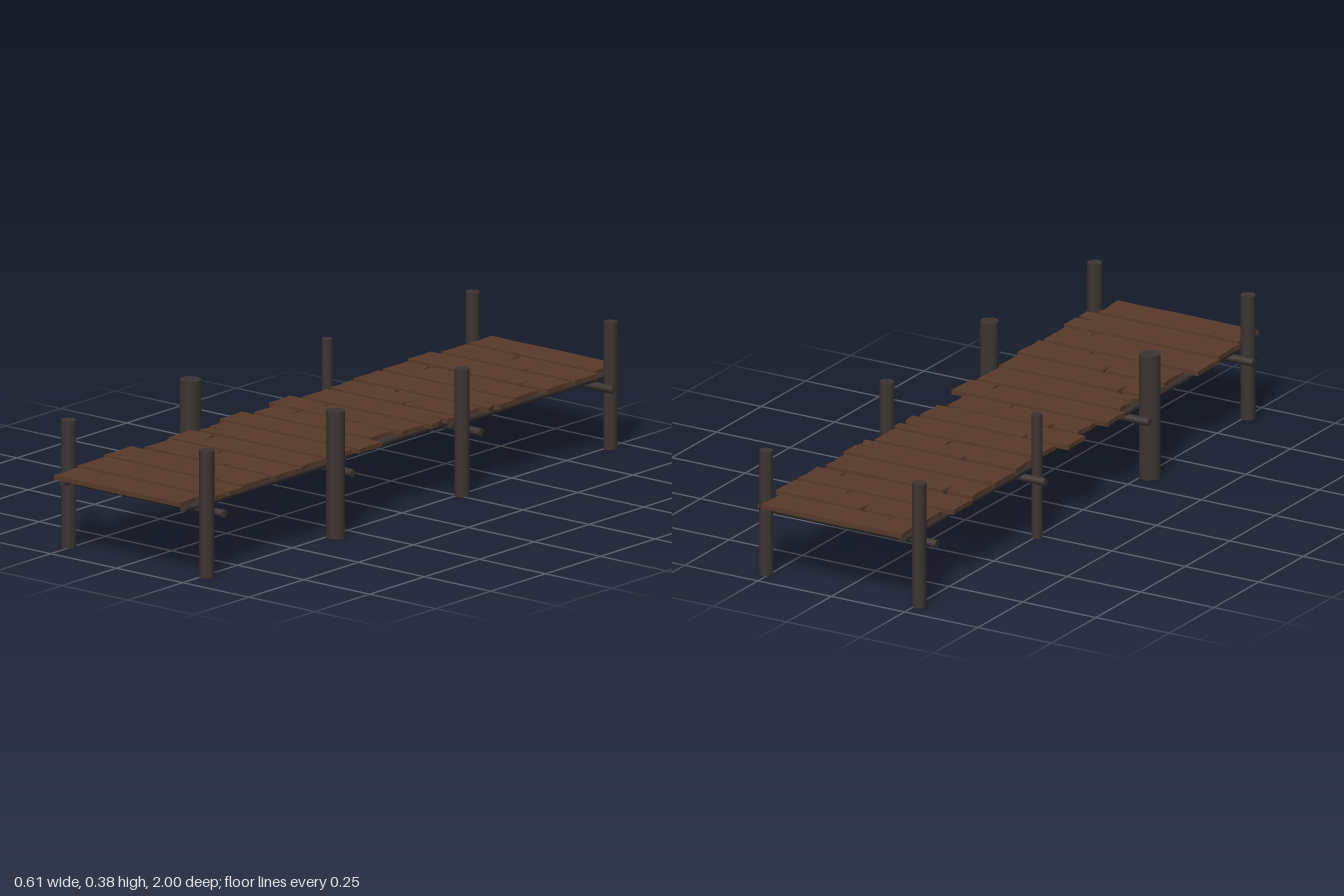
import * as THREE from 'three';

const wood = new THREE.MeshStandardMaterial({ color: 0x573a2a });
const bark = new THREE.MeshStandardMaterial({ color: 0x3b3432 });

// Small seeded random, 0..1
let seed = 7;
const rnd = () => (seed = (seed * 16807) % 2147483647) / 2147483647;

function log(name, radius, length, x, y, z, axis = 'y', sides = 14) {
  const geo = new THREE.CylinderGeometry(radius, radius, length, sides);
  if (axis === 'x') geo.rotateZ(Math.PI / 2);
  if (axis === 'z') geo.rotateX(Math.PI / 2);
  const mesh = new THREE.Mesh(geo, bark);
  mesh.name = name;
  mesh.position.set(x, y, z);
  return mesh;
}

// Board outline with rough edges; each crack is [side, position along side, depth]
function plank(z0, z1, x0, x1, cracks) {
  const find = (side) => cracks.filter((c) => c[0] === side);
  const rough = () => rnd() * 0.006;
  const edge = (side, z, inward) => {
    const pts = [];
    for (let i = 0; i <= 5; i++) pts.push([x0 + ((x1 - x0) * i) / 5, z + inward * rough()]);
    for (const [, x, depth] of find(side)) {
      pts.push([x - 0.008, z + inward * 0.004], [x + 0.002, z + inward * depth], [x + 0.006, z + inward * 0.004]);
    }
    return pts.sort((a, b) => a[0] - b[0]);
  };
  const end = (side, x, inward) => {
    const pts = [0.33, 0.67].map((t) => [x + inward * rough(), z0 + (z1 - z0) * t]);
    for (const [, z, depth] of find(side)) {
      pts.push([x, z - 0.008], [x + inward * depth, z - 0.004], [x + inward * 0.012, z + 0.006]);
    }
    return pts.sort((a, b) => a[1] - b[1]);
  };
  const outline = [
    ...edge('back', z0, 1),
    ...end('left', x1, -1),
    ...edge('front', z1, -1).reverse(),
    ...end('right', x0, 1).reverse(),
  ];
  const shape = new THREE.Shape(outline.map(([x, z]) => new THREE.Vector2(x, -z)));
  const geo = new THREE.ExtrudeGeometry(shape, { depth: 0.014, bevelEnabled: false });
  geo.rotateX(-Math.PI / 2);
  const mesh = new THREE.Mesh(geo, wood);
  mesh.name = 'plank';
  mesh.position.y = 0.225;
  return mesh;
}

export function createModel() {
  seed = 7;
  const model = new THREE.Group();
  model.name = 'woodenPier';

  // Deck boards: back z, front z, right x, left x, cracks
  const boards = [
    [-1.0, -0.89, -0.24, 0.24, [['front', -0.145, 0.035]]],
    [-0.88, -0.765, -0.24, 0.265, [['back', -0.03, 0.05], ['front', 0.075, 0.03]]],
    [-0.755, -0.64, -0.265, 0.265, [['front', 0.165, 0.05]]],
    [-0.625, -0.51, -0.25, 0.25, [['back', -0.155, 0.055]]],
    [-0.5, -0.375, -0.25, 0.265, [['left', -0.42, 0.08]]],
    [-0.365, -0.255, -0.24, 0.24, [['back', -0.06, 0.03], ['front', 0.04, 0.045]]],
    [-0.245, -0.13, -0.235, 0.25, [['left', -0.2, 0.07]]],
    [-0.12, -0.015, -0.27, 0.235, [['back', -0.12, 0.03]]],
    [-0.01, 0.095, -0.235, 0.21, [['back', -0.14, 0.04], ['front', 0.04, 0.03]]],
    [0.105, 0.215, -0.265, 0.265, [['front', 0.165, 0.045]]],
    [0.225, 0.345, -0.235, 0.25, [['right', 0.3, 0.09]]],
    [0.355, 0.465, -0.25, 0.255, [['back', -0.155, 0.055]]],
    [0.475, 0.595, -0.235, 0.265, [['back', -0.03, 0.05], ['front', 0.075, 0.03]]],
    [0.605, 0.735, -0.27, 0.255, [['front', 0.15, 0.055]]],
    [0.745, 0.875, -0.255, 0.27, [['left', 0.82, 0.08]]],
    [0.885, 1.0, -0.24, 0.24, [['back', -0.145, 0.035]]],
  ];
  const deck = new THREE.Group();
  deck.name = 'deck';
  for (const b of boards) deck.add(plank(...b));
  model.add(deck);

  // Upright posts: x, z, radius
  const posts = [
    [-0.26, -0.935, 0.021], [0.262, -0.935, 0.021],
    [-0.254, -0.265, 0.016], [0.26, -0.26, 0.022],
    [-0.273, 0.335, 0.032], [0.27, 0.328, 0.028],
    [-0.261, 0.905, 0.022], [0.262, 0.905, 0.022],
  ];
  for (const [x, z, r] of posts) model.add(log('post', r, 0.383, x, 0.1915, z));

  // Cross beams tying each pair of posts
  for (const z of [-0.902, -0.296, 0.288, 0.873]) {
    model.add(log('crossBeam', 0.012, 0.605, 0.001, 0.19, z, 'x', 10));
  }

  // Lengthwise runners, outer ones at the ends overlapping inner ones in the middle
  for (const [outer, inner] of [[-0.227, -0.202], [0.23, 0.205]]) {
    model.add(log('runner', 0.0115, 0.73, outer, 0.2135, -0.61, 'z', 10));
    model.add(log('runner', 0.0115, 0.73, inner, 0.2135, -0.005, 'z', 10));
    model.add(log('runner', 0.0115, 0.73, outer, 0.2135, 0.61, 'z', 10));
  }
  return model;
}
